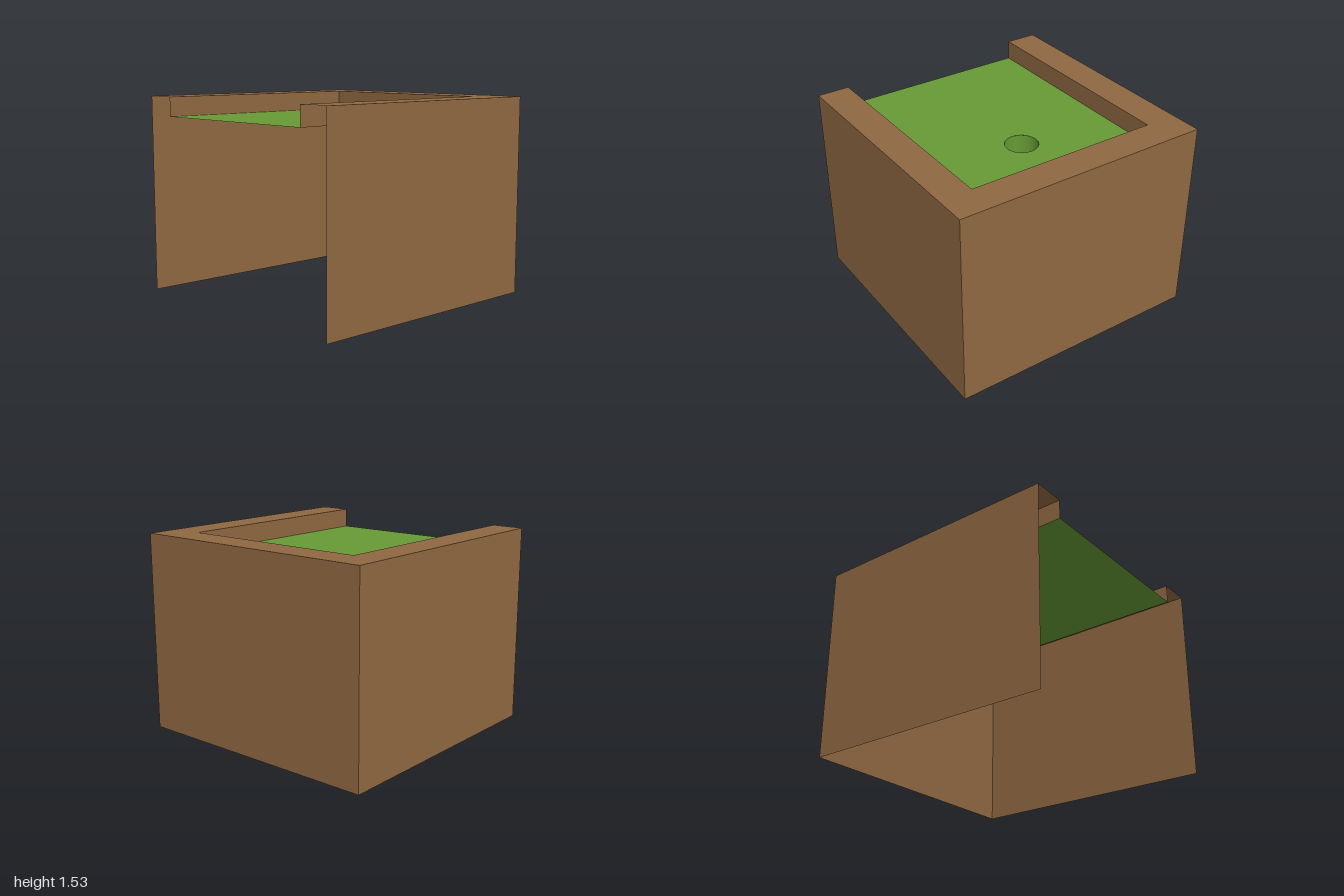
import * as THREE from 'three';

const TOP = 1.53, FLOOR = 1.38, CUP = 1.17; // heights
const IN = 0.75, R = 0.125, HOLE_Z = -0.25;

export function createModel() {
  const group = new THREE.Group();
  const wood = new THREE.MeshStandardMaterial({ name: 'woodBrown', color: 0x8f6841, side: THREE.DoubleSide });
  const felt = new THREE.MeshStandardMaterial({ name: 'feltGreen', color: 0x669a35, side: THREE.DoubleSide });

  const add = (name, geometry, material, x, y, z, ry = 0) => {
    const mesh = new THREE.Mesh(geometry, material);
    mesh.name = name;
    mesh.position.set(x, y, z);
    mesh.rotation.y = ry;
    group.add(mesh);
  };
  // Flat shape lying level: shape (x, y) becomes (x, -z), facing up
  const level = (shape) => new THREE.ShapeGeometry(shape, 48).rotateX(-Math.PI / 2);
  const outline = (points) => new THREE.Shape(points.map(([x, z]) => new THREE.Vector2(x, -z)));

  // Outer shell, open at the front and underneath
  add('backWall', new THREE.PlaneGeometry(2, TOP), wood, 0, TOP / 2, -1, Math.PI);
  for (const [side, s] of [['left', 1], ['right', -1]]) {
    add(side + 'Wall', new THREE.PlaneGeometry(2, TOP), wood, s, TOP / 2, 0, s * Math.PI / 2);
    // Inner face of the rim
    add(side + 'RimInside', new THREE.PlaneGeometry(1 + IN, TOP - FLOOR), wood,
      s * IN, (TOP + FLOOR) / 2, (1 - IN) / 2, -s * Math.PI / 2);
  }
  add('backRimInside', new THREE.PlaneGeometry(2 * IN, TOP - FLOOR), wood, 0, (TOP + FLOOR) / 2, -IN);

  // U-shaped rim top
  add('rimTop', level(outline([
    [-1, 1], [-IN, 1], [-IN, -IN], [IN, -IN], [IN, 1], [1, 1], [1, -1], [-1, -1],
  ])), wood, 0, TOP, 0);

  // Green playing surface with a round hole
  const surface = outline([[-IN, 1], [IN, 1], [IN, -IN], [-IN, -IN]]);
  surface.holes.push(new THREE.Path().absarc(0, -HOLE_Z, R, 0, Math.PI * 2, true));
  add('surface', level(surface), felt, 0, FLOOR, 0);

  // Cup below the hole
  add('cupWall', new THREE.CylinderGeometry(R, R, FLOOR - CUP, 48, 1, true), felt, 0, (FLOOR + CUP) / 2, HOLE_Z);
  add('cupBottom', new THREE.CircleGeometry(R, 48).rotateX(-Math.PI / 2), felt, 0, CUP, HOLE_Z);

  return group;
}
